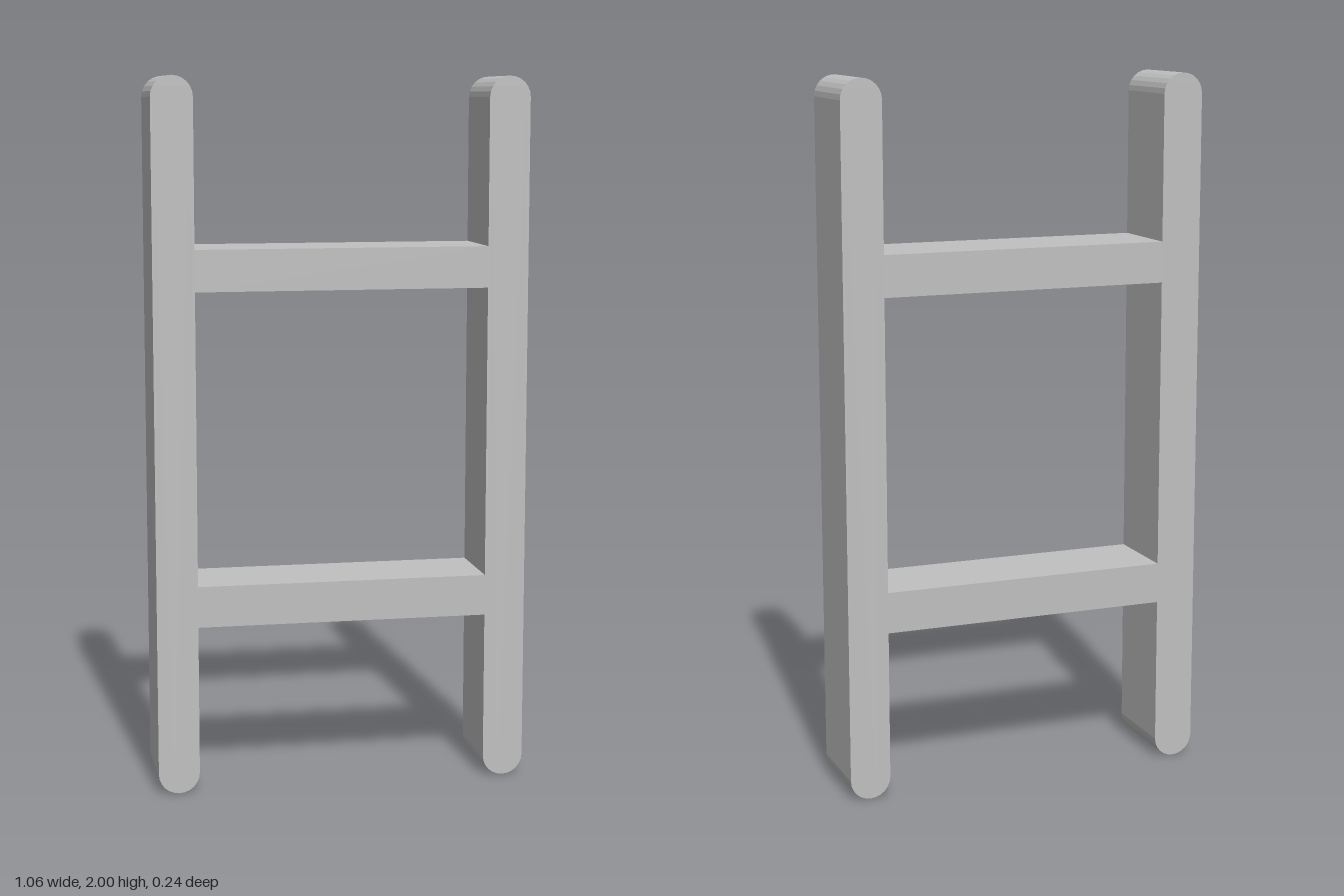
import * as THREE from 'three';

const DEPTH = 0.236;   // front to back
const RAIL_X = 0.47;   // rail centre line
const R = 0.058;       // half thickness of rails and rungs

export function createModel() {
  const group = new THREE.Group();
  group.name = 'ladder';
  const grey = new THREE.MeshStandardMaterial({ color: 0xc0c0c0 });
  grey.name = 'lightGrey';

  // Rail: a tall bar with rounded ends
  const outline = new THREE.Shape();
  outline.absarc(0, 2 - R, R, 0, Math.PI, false);
  outline.absarc(0, R, R, Math.PI, Math.PI * 2, false);
  outline.closePath();
  const railGeometry = new THREE.ExtrudeGeometry(outline, {
    depth: DEPTH, bevelEnabled: false, curveSegments: 6,
  });
  railGeometry.translate(0, 0, -DEPTH / 2);
  for (const [name, side] of [['leftRail', 1], ['rightRail', -1]]) {
    const rail = new THREE.Mesh(railGeometry, grey);
    rail.name = name;
    rail.position.x = side * RAIL_X;
    group.add(rail);
  }

  // Rungs: flat boards fitted between the rails, flush front and back
  const rungGeometry = new THREE.BoxGeometry(2 * (RAIL_X - R), 2 * R, DEPTH);
  for (const [name, y] of [['lowerRung', 0.535], ['upperRung', 1.473]]) {
    const rung = new THREE.Mesh(rungGeometry, grey);
    rung.name = name;
    rung.position.y = y;
    group.add(rung);
  }
  return group;
}
